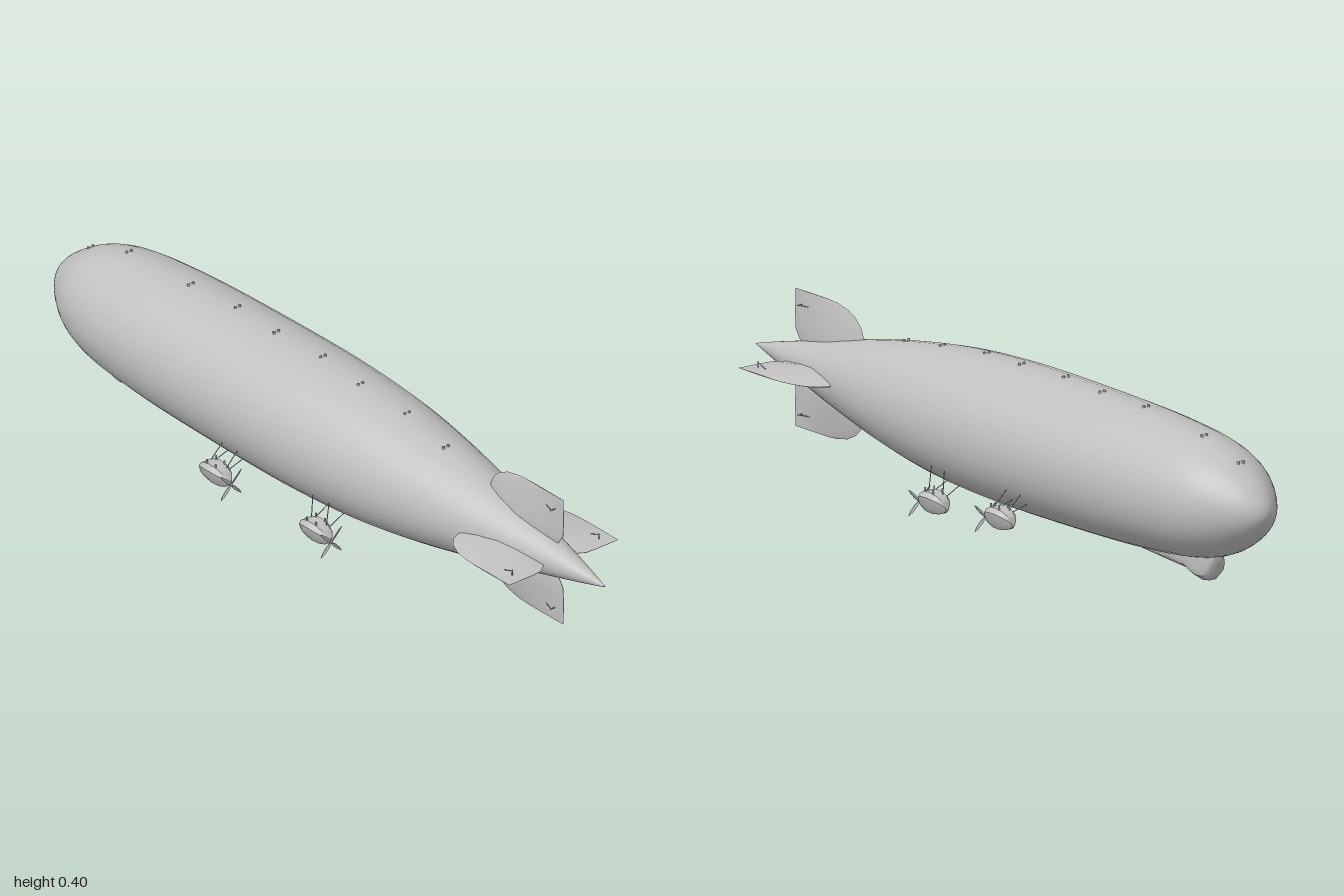
import * as THREE from 'three';
import { toCreasedNormals } from 'three/addons/utils/BufferGeometryUtils.js';

const AXIS_Y = 0.223;
const grey = new THREE.MeshStandardMaterial({ color: 0xc0c0c0 });
grey.name = 'silver grey';

function mesh(name, geometry, parent) {
  const m = new THREE.Mesh(geometry, grey);
  m.name = name;
  parent.add(m);
  return m;
}

// Closed skin over rings of [x, y, z] points, counter-clockwise about the loft direction
function loft(rings, crease) {
  const n = rings[0].length, last = rings.length - 1;
  const pos = rings.flat(2), idx = [];
  for (let k = 0; k < last; k++) {
    for (let i = 0; i < n; i++) {
      const a = k * n + i, b = k * n + (i + 1) % n;
      idx.push(a, b, a + n, b, b + n, a + n);
    }
  }
  for (const [k, flip] of [[0, true], [last, false]]) {
    const c = pos.length / 3;
    for (let d = 0; d < 3; d++) pos.push(rings[k].reduce((s, p) => s + p[d], 0) / n);
    for (let i = 0; i < n; i++) {
      const a = k * n + i, b = k * n + (i + 1) % n;
      idx.push(c, flip ? b : a, flip ? a : b);
    }
  }
  const g = new THREE.BufferGeometry();
  g.setAttribute('position', new THREE.Float32BufferAttribute(pos, 3));
  g.setIndex(idx);
  return toCreasedNormals(g, crease);
}

// Thin round bar between two points
function bar(name, from, to, radius, parent) {
  const a = new THREE.Vector3(...from), b = new THREE.Vector3(...to);
  const m = mesh(name, new THREE.CylinderGeometry(radius, radius, a.distanceTo(b), 6), parent);
  m.position.copy(a).add(b).multiplyScalar(0.5);
  m.quaternion.setFromUnitVectors(new THREE.Vector3(0, 1, 0), b.sub(a).normalize());
}

// Hull profile: station along the axis, radius
const PROFILE = [
  [-1, 0], [-0.995, 0.02], [-0.98, 0.043], [-0.95, 0.072], [-0.9, 0.106], [-0.85, 0.129],
  [-0.78, 0.147], [-0.68, 0.159], [-0.5, 0.169], [-0.2, 0.174], [0, 0.172], [0.2, 0.16],
  [0.4, 0.133], [0.6, 0.094], [0.8, 0.049], [0.9, 0.026], [0.98, 0.006], [1, 0],
];

function hullRadius(x) {
  const i = Math.max(1, PROFILE.findIndex((p) => p[0] >= x));
  const [a, b] = [PROFILE[i - 1], PROFILE[i]];
  return a[1] + (b[1] - a[1]) * (x - a[0]) / (b[0] - a[0]);
}

function buildHull(parent) {
  const curve = new THREE.SplineCurve(PROFILE.map(([x, r]) => new THREE.Vector2(r, x)));
  const pts = curve.getPoints(68).map((p) => new THREE.Vector2(Math.max(0, p.x), p.y));
  const hull = mesh('hull', new THREE.LatheGeometry(pts, 36).rotateZ(-Math.PI / 2), parent);
  hull.position.y = AXIS_Y;
}

// Tail fin: airfoil sections [distance from axis, leading x, trailing x, half thickness]
function finGeometry() {
  const sections = [
    [0.025, 0.57, 0.8, 0.018], [0.045, 0.57, 0.825, 0.018], [0.07, 0.57, 0.843, 0.018],
    [0.1, 0.575, 0.845, 0.014], [0.125, 0.587, 0.845, 0.01], [0.145, 0.608, 0.845, 0.006],
    [0.16, 0.64, 0.845, 0.003], [0.168, 0.68, 0.845, 0.0015], [0.17, 0.71, 0.845, 0.001],
  ];
  const airfoil = [[0, 0], [0.05, 0.38], [0.2, 0.82], [0.42, 1], [0.65, 0.72], [0.85, 0.32], [1, 0.03]];
  const outline = [...airfoil, ...airfoil.slice(1).reverse().map(([t, w]) => [t, -w])];
  return loft(sections.map(([y, x0, x1, h]) => outline.map(([t, w]) => [x0 + (x1 - x0) * t, y, w * h])), 0.7);
}

function buildFins(parent) {
  const geometry = finGeometry();
  ['topFin', 'leftFin', 'bottomFin', 'rightFin'].forEach((name, i) => {
    const fin = new THREE.Group();
    fin.name = name;
    fin.position.y = AXIS_Y;
    fin.rotation.x = i * Math.PI / 2;
    mesh('finBlade', geometry, fin);
    // Control horn and its push rods
    bar('controlHorn', [0.815, 0.135, -0.017], [0.815, 0.135, 0.017], 0.0015, fin);
    for (const s of [-1, 1]) bar('controlRod', [0.815, 0.135, s * 0.014], [0.785, 0.135, s * 0.004], 0.001, fin);
    parent.add(fin);
  });
}

// Control car under the nose, tapering aft into a keel: [x, bottom y, half width]
function buildControlCar(parent) {
  const stations = [
    [-0.815, 0.068, 0.012], [-0.805, 0.035, 0.025], [-0.79, 0.022, 0.031], [-0.765, 0.018, 0.033],
    [-0.735, 0.023, 0.032], [-0.71, 0.034, 0.028], [-0.6, 0.04, 0.024], [-0.5, 0.046, 0.016], [-0.44, 0.053, 0.006],
  ];
  const rings = stations.map(([x, y, w]) => {
    const top = 0.1, mid = y + Math.min(0.03, (top - y) * 0.4);
    const half = [[top, w * 0.8], [mid, w], [y + (mid - y) * 0.45, w * 0.85], [y, w * 0.3]];
    return [...half.map(([py, z]) => [x, py, z]), ...half.reverse().map(([py, z]) => [x, py, -z])];
  });
  mesh('controlCar', loft(rings, 0.6), parent);
}

// Engine car: shield-shaped section scaled along its length
function podGeometry() {
  const half = [[0.025, 0.017], [0.013, 0.027], [-0.014, 0.02], [-0.029, 0.009]];
  const section = [...half, ...half.slice().reverse().map(([y, z]) => [y, -z])];
  const stations = [[-0.057, 0.2], [-0.05, 0.52], [-0.035, 0.82], [-0.01, 1], [0.015, 0.94], [0.035, 0.66], [0.048, 0.25]];
  return loft(stations.map(([x, s]) => section.map(([y, z]) => [x, y * s - 0.01 * (1 - s), z * s])), 0.6);
}

function buildPropeller(parent) {
  const prop = new THREE.Group();
  prop.name = 'propeller';
  prop.position.set(0.052, -0.012, 0);
  mesh('propellerHub', new THREE.ConeGeometry(0.006, 0.016, 10).rotateZ(-Math.PI / 2), prop);
  const outline = new THREE.Shape([[-0.0015, 0], [-0.004, 0.016], [-0.003, 0.036], [0, 0.046], [0.003, 0.036], [0.004, 0.016], [0.0015, 0]]
    .map(([x, y]) => new THREE.Vector2(x, y)));
  const blade = new THREE.ExtrudeGeometry(outline, { depth: 0.002, bevelEnabled: false });
  blade.translate(0, 0, -0.001).rotateY(Math.PI / 2 + 0.4);
  for (let i = 0; i < 4; i++) mesh('propellerBlade', blade, prop).rotation.x = Math.PI / 4 + i * Math.PI / 2;
  parent.add(prop);
}

function buildEngineCars(parent) {
  const geometry = podGeometry();
  for (const [place, x, y, z, hullYs] of [
    ['front', -0.205, 0.085, 0.193, [0.14, 0.112]],
    ['rear', 0.112, 0.049, 0.149, [0.132, 0.085]],
  ]) {
    for (const side of [1, -1]) {
      const car = new THREE.Group();
      car.name = place + (side > 0 ? 'LeftEngineCar' : 'RightEngineCar');
      car.position.set(x, y, side * z);
      mesh('engineHousing', geometry, car);
      buildPropeller(car);
      // Exhaust stubs on the roof
      for (const s of [-1, 1]) for (const dx of [-0.02, 0.012]) {
        bar('exhaustStub', [dx, 0.018, s * 0.014], [dx, 0.032, s * 0.014], 0.0025, car);
      }
      // Struts up to the hull
      for (const dx of [-0.03, 0.025]) {
        hullYs.forEach((hy, i) => {
          const r = hullRadius(x + dx) - 0.003;
          const hz = Math.sqrt(r * r - (hy - AXIS_Y) ** 2);
          bar('strut', [dx, i ? 0.014 : 0.02, side * (i ? -0.02 : -0.008)], [dx, hy - y, side * (hz - z)], 0.0012, car);
        });
      }
      parent.add(car);
    }
  }
}

// Small hooded vents along the spine
function buildVents(parent) {
  const xs = [-0.895, -0.765, -0.525, -0.365, -0.21, -0.05, 0.1, 0.26, 0.415];
  xs.forEach((x, i) => {
    for (const s of [-1, 1]) {
      const vent = mesh('vent', new THREE.CylinderGeometry(0.003, 0.004, 0.01, 8), parent);
      vent.position.set(x, AXIS_Y + hullRadius(x), (i % 2 ? -0.006 : 0.004) + s * 0.007);
    }
  });
}

export function createModel() {
  const airship = new THREE.Group();
  airship.name = 'airship';
  buildHull(airship);
  buildFins(airship);
  buildControlCar(airship);
  buildEngineCars(airship);
  buildVents(airship);
  return airship;
}
